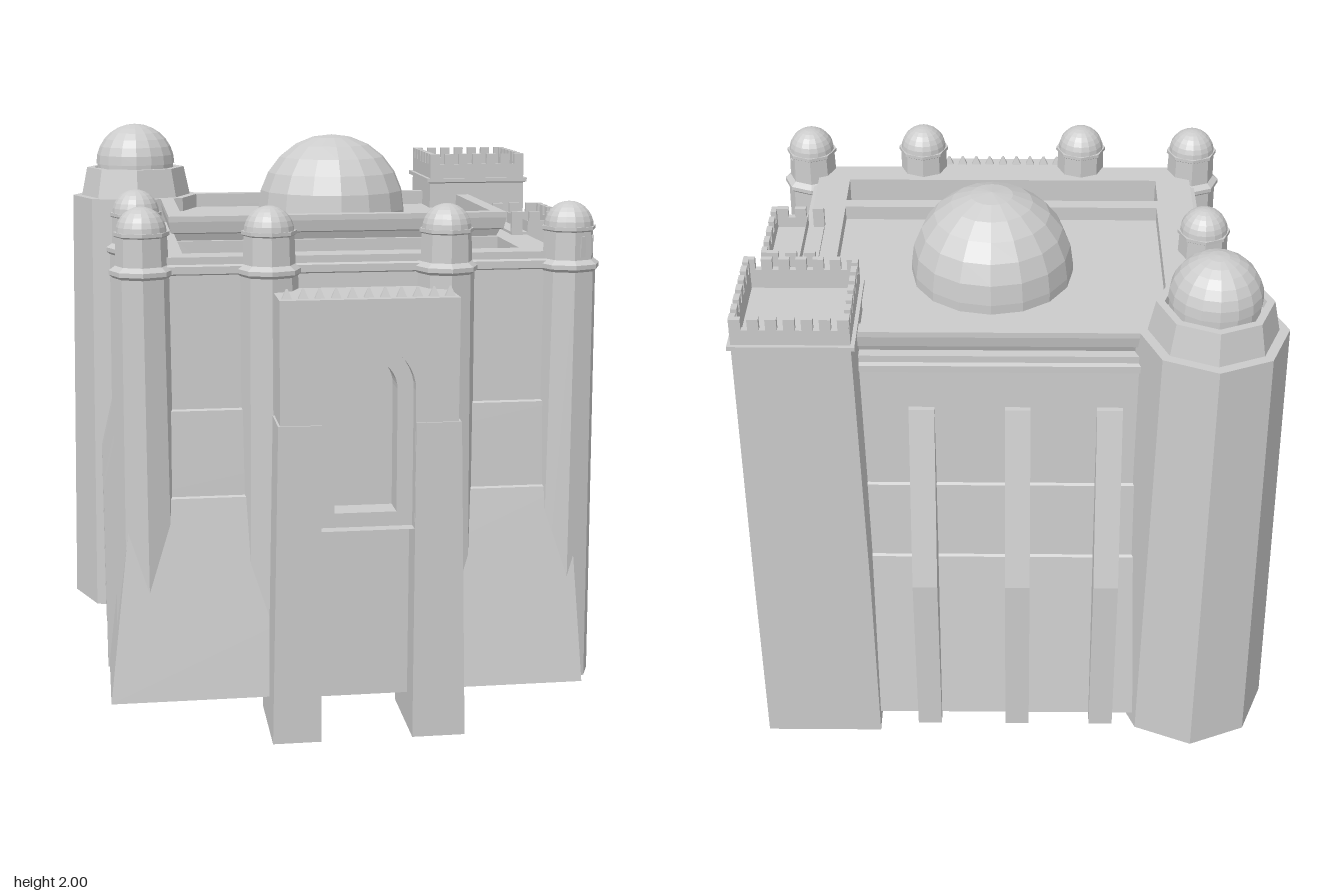
import * as THREE from 'three';

const stone = new THREE.MeshStandardMaterial({ color: 0xcccccc, flatShading: true, side: THREE.DoubleSide });

// Horizontal cross-sections, listed counter-clockwise from above
const rect = (y, x0, x1, z0, z1) => [[x1, y, z1], [x1, y, z0], [x0, y, z0], [x0, y, z1]];
const oct = (y, r, cx, cz) => Array.from({ length: 8 }, (_, i) => {
  const a = i * Math.PI / 4;
  return [cx + r * Math.cos(a), y, cz - r * Math.sin(a)];
});

// Skin between successive cross-sections
function loft(rings) {
  const pos = [];
  for (let i = 0; i + 1 < rings.length; i++) {
    const n = rings[i].length;
    for (let j = 0; j < n; j++) {
      const k = (j + 1) % n;
      const a = rings[i][j], b = rings[i][k], c = rings[i + 1][k], d = rings[i + 1][j];
      pos.push(...a, ...b, ...c, ...a, ...c, ...d);
    }
  }
  const g = new THREE.BufferGeometry();
  g.setAttribute('position', new THREE.Float32BufferAttribute(pos, 3));
  g.computeVertexNormals();
  return g;
}

function polygon(points, Type = THREE.Shape) {
  return new Type(points.map(p => new THREE.Vector2(...p)));
}
const rectPoints = (x0, x1, y0, y1) => [[x0, y0], [x1, y0], [x1, y1], [x0, y1]];

// Round-headed opening
function archPath(x0, x1, y0, top, Type = THREE.Path) {
  const r = (x1 - x0) / 2, p = new Type();
  p.moveTo(x0, y0);
  p.lineTo(x1, y0);
  p.lineTo(x1, top - r);
  p.absarc(x0 + r, top - r, r, 0, Math.PI, false);
  p.lineTo(x0, y0);
  return p;
}
const extrude = (shape, depth) =>
  new THREE.ExtrudeGeometry(shape, { depth, bevelEnabled: false, curveSegments: 10 });

// Horizontal slab from a plan drawn in (x, z)
function slab(shape, y0, y1) {
  return extrude(shape, y1 - y0).rotateX(Math.PI / 2).translate(0, y1, 0);
}

export function createModel() {
  const root = new THREE.Group();
  function add(name, geometry, x = 0, y = 0, z = 0, parent = root) {
    const m = new THREE.Mesh(geometry, stone);
    m.name = name;
    m.position.set(x, y, z);
    parent.add(m);
    return m;
  }
  const box = (name, w, h, d, x, y, z) => add(name, new THREE.BoxGeometry(w, h, d), x, y, z);
  const dome = (name, r, x, y, z, rows = 7) => add(name,
    new THREE.SphereGeometry(r, 16, rows, 0, Math.PI * 2, 0, Math.PI * 0.5), x, y, z);

  // Outer walls: battered foot, middle tier, upper tier
  add('outerWalls', loft([
    rect(0.12, -0.82, 0.83, -0.80, 0.785),
    rect(0.81, -0.735, 0.79, -0.715, 0.684),
    rect(0.815, -0.725, 0.785, -0.705, 0.675),
    rect(1.11, -0.705, 0.775, -0.685, 0.66),
    rect(1.115, -0.695, 0.768, -0.675, 0.65),
    rect(1.57, -0.68, 0.76, -0.66, 0.64),
    rect(1.575, -0.69, 0.77, -0.67, 0.65),
    rect(1.60, -0.69, 0.77, -0.67, 0.65),
    rect(1.605, -0.67, 0.75, -0.655, 0.635),
    rect(1.63, -0.67, 0.75, -0.655, 0.635)]));

  // Wall walk around the open courtyard
  const walk = polygon(rectPoints(-0.67, 0.75, -0.655, 0.635));
  walk.holes.push(polygon(rectPoints(-0.54, 0.63, 0.20, 0.53), THREE.Path));
  add('wallWalk', slab(walk, 1.58, 1.63));
  add('courtyardWalls', loft([rect(1.63, -0.54, 0.63, 0.12, 0.53), rect(1.10, -0.54, 0.63, 0.12, 0.53)]));

  // Arcade below the roof, facing the courtyard
  const arcade = polygon(rectPoints(-0.54, 0.63, 1.1, 1.63));
  for (let i = 0; i < 9; i++) {
    const x = -0.475 + i * 0.13;
    arcade.holes.push(archPath(x - 0.04, x + 0.04, 1.38, 1.58));
  }
  add('arcade', extrude(arcade, 0.04), 0, 0, 0.165);

  // Hall roof: splayed parapet with one corner cut for the round tower
  const plan = (y, o) => [[0.66 - o, 0.215 - o], [0.66 - o, -0.65 + o], [-0.45, -0.65 + o],
    [-0.57 + o, -0.44], [-0.57 + o, 0.215 - o]].map(([x, z]) => [x, y, z]);
  add('roofParapet', loft([plan(1.63, 0.03), plan(1.655, 0.02), plan(1.66, 0.008), plan(1.70, 0),
    plan(1.72, 0), plan(1.72, 0.05), plan(1.665, 0.05)]));
  add('roofFloor', slab(polygon(plan(0, 0.045).map(p => [p[0], p[2]])), 1.64, 1.668));
  add('mainDomeBase', new THREE.CylinderGeometry(0.28, 0.28, 0.04, 16, 1, true), 0.07, 1.682, -0.185);
  dome('mainDome', 0.28, 0.07, 1.70, -0.185, 6);

  // Slim octagonal turrets
  for (const [x, z] of [[-0.68, 0.62], [-0.255, 0.64], [0.35, 0.64], [0.78, 0.62], [-0.68, 0.02]]) {
    const profile = [[0.11, 0.115], [1.565, 0.098], [1.575, 0.11], [1.59, 0.11], [1.605, 0.089],
      [1.70, 0.086], [1.705, 0.094], [1.717, 0.094], [1.717, 0.001]];
    add('turret', loft(profile.map(([y, r]) => oct(y, r, x, z))));
    dome('turretDome', 0.085, x, 1.715, z);
  }
  for (const i of [-1.5, -0.5, 0.5]) {
    const a = Math.PI / 4 * (i + 1);
    const w = box('turretSlit', 0.008, 0.07, 0.02, 0.78 + 0.08 * Math.cos(a), 1.65, 0.62 + 0.08 * Math.sin(a));
    w.rotation.y = -a;
  }

  // Great octagonal tower
  const great = [[0.07, 0.283], [1.72, 0.25], [1.72, 0.215], [1.83, 0.192], [1.83, 0.165], [1.80, 0.16], [1.80, 0.001]];
  add('greatTower', loft(great.map(([y, r]) => oct(y, r, -0.66, -0.625))));
  dome('greatTowerDome', 0.155, -0.66, 1.845, -0.62);
  add('greatTowerDrum', new THREE.CylinderGeometry(0.15, 0.15, 0.05, 16, 1, true), -0.66, 1.822, -0.62);

  // Row of merlons along a straight edge
  function merlons(name, n, x0, z0, x1, z1, y, w, h, t) {
    for (let i = 0; i < n; i++) {
      const f = i / (n - 1), alongX = z0 === z1;
      box(name, alongX ? w : t, h, alongX ? t : w, x0 + (x1 - x0) * f, y + h / 2, z0 + (z1 - z0) * f);
    }
  }

  // Square tower with battlements
  add('squareTower', loft([
    rect(0.06, 0.485, 0.90, -0.837, -0.427), rect(0.78, 0.49, 0.895, -0.833, -0.432),
    rect(1.765, 0.505, 0.885, -0.822, -0.443), rect(1.77, 0.492, 0.897, -0.835, -0.432),
    rect(1.785, 0.492, 0.897, -0.835, -0.432), rect(1.785, 0.505, 0.885, -0.822, -0.443),
    rect(1.84, 0.505, 0.885, -0.822, -0.443), rect(1.84, 0.525, 0.865, -0.802, -0.463),
    rect(1.77, 0.525, 0.865, -0.802, -0.463), rect(1.77, 0.694, 0.696, -0.633, -0.631)]));
  for (const z of [-0.812, -0.453]) merlons('towerMerlon', 7, 0.525, z, 0.865, z, 1.84, 0.036, 0.04, 0.02);
  for (const x of [0.515, 0.875]) merlons('towerMerlon', 7, x, -0.802, x, -0.463, 1.84, 0.036, 0.04, 0.02);

  // Sloped buttresses: profile runs outward from the wall
  const buttressShape = polygon([[0, 0.10], [0.20, 0.10], [0.20, 0.775], [0.045, 1.43], [0, 1.43]]);
  function buttress(x, z, turn) {
    const m = add('buttress', extrude(buttressShape, 0.086).translate(0, 0, -0.043), x, 0, z);
    m.rotation.y = turn;
  }
  for (const z of [0.33, 0.015, -0.285]) buttress(0.735, z, 0);
  for (const z of [0.33, -0.23]) buttress(-0.625, z, Math.PI);
  for (const x of [-0.33, -0.022, 0.30]) buttress(x, -0.638, Math.PI / 2);

  // Gatehouse: tapered piers, arched front, recessed doorway
  for (const [a, b, c, d] of [[-0.28, -0.115, -0.257, -0.113], [0.20, 0.383, 0.202, 0.355]]) {
    add('gatePier', loft([rect(0, a, b, 0.57, 0.915), rect(1.105, c, d, 0.60, 0.912),
      rect(1.105, c + 0.02, d - 0.02, 0.62, 0.89)]));
  }
  const front = polygon(rectPoints(-0.25, 0.346, 0.74, 1.52));
  front.holes.push(archPath(-0.113, 0.201, 0.7405, 1.37));
  add('gateFront', extrude(front, 0.305), 0, 0, 0.60);
  const frame = archPath(-0.114, 0.202, 0.74, 1.37, THREE.Shape);
  frame.holes.push(archPath(-0.063, 0.147, 0.79, 1.315));
  add('doorFrame', extrude(frame, 0.10), 0, 0, 0.76);
  add('doorPanel', extrude(archPath(-0.07, 0.155, 0.78, 1.32, THREE.Shape), 0.01), 0, 0, 0.755);
  box('gateLowerPanel', 0.33, 0.62, 0.04, 0.043, 0.43, 0.785);
  for (let i = 0; i < 11; i++) {
    const spike = new THREE.CylinderGeometry(0.004, 0.024, 0.034, 4).rotateY(Math.PI / 4).scale(1, 1, 0.6);
    add('gateSpike', spike, -0.222 + i * 0.054, 1.536, 0.865);
  }

  // Overhanging gallery on the left wall
  add('gallery', loft([rect(1.54, 0.75, 0.88, -0.15, 0.175), rect(1.68, 0.75, 0.88, -0.15, 0.175),
    rect(1.68, 0.75, 0.86, -0.13, 0.155), rect(1.64, 0.75, 0.86, -0.13, 0.155)]));
  box('galleryFloor', 0.185, 0.10, 0.32, 0.785, 1.59, 0.0125);
  merlons('galleryMerlon', 5, 0.87, -0.127, 0.87, 0.152, 1.68, 0.04, 0.035, 0.02);
  for (const z of [-0.14, 0.165]) merlons('galleryMerlon', 3, 0.71, z, 0.84, z, 1.64, 0.04, 0.075, 0.02);
  const corbel = polygon([[0.74, 1.41], [0.785, 1.41], [0.878, 1.54], [0.74, 1.54]]);
  for (let i = 0; i < 4; i++) add('galleryCorbel', extrude(corbel, 0.055), 0, 0, -0.15 + i * 0.09);
  box('galleryBack', 0.06, 0.13, 0.325, 0.765, 1.475, 0.0125);
  for (const z of [-0.08, 0.01, 0.10]) box('gallerySlit', 0.006, 0.06, 0.02, 0.88, 1.605, z);

  // Small windows in the upper wall
  for (const z of [0.45, 0.25, -0.295]) box('window', 0.014, 0.06, 0.025, 0.763, 1.47, z);
  for (const z of [0.45, 0.225, 0.13, -0.09, -0.18, -0.295]) box('window', 0.014, 0.06, 0.025, 0.766, 1.31, z);

  return root;
}
